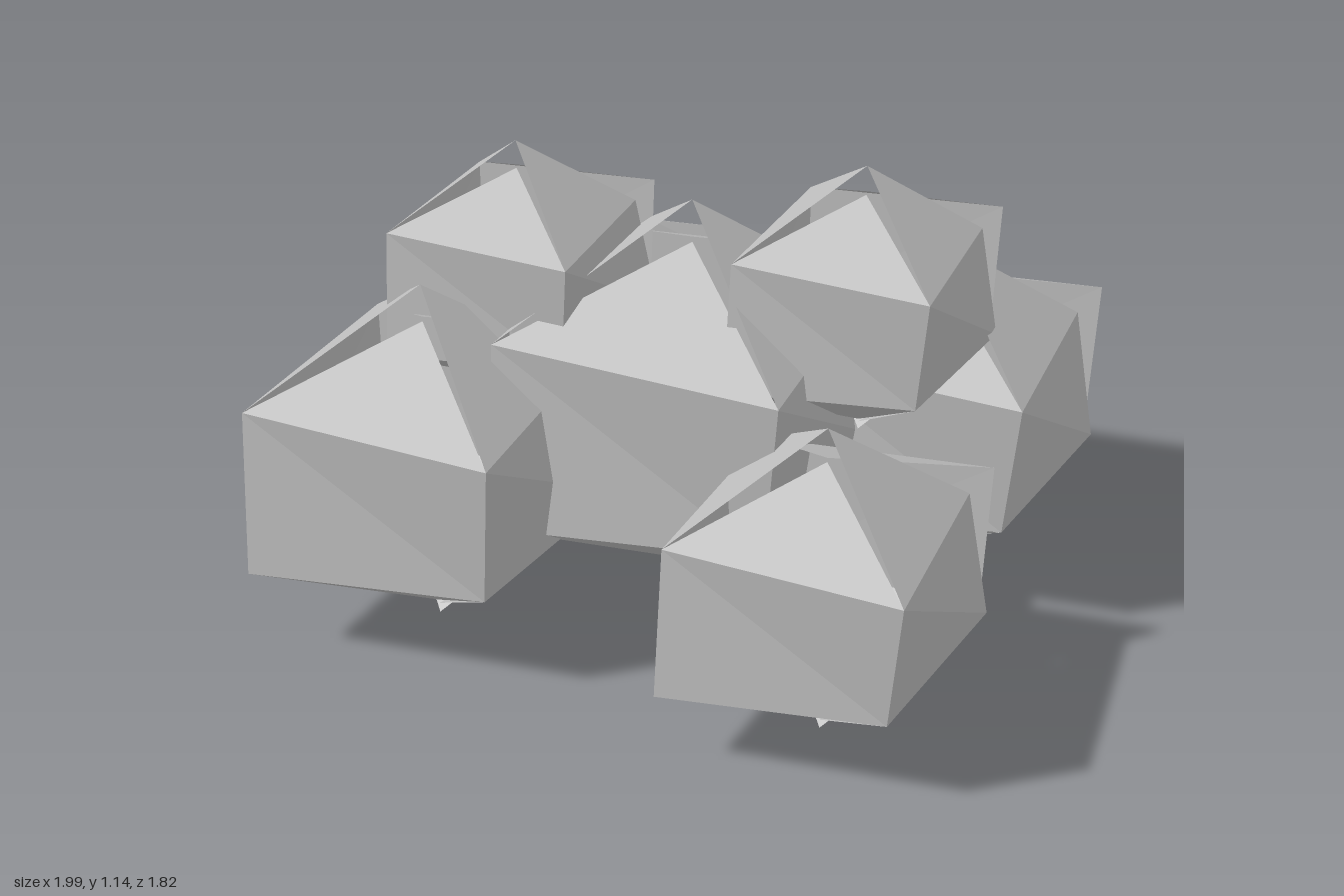
import * as THREE from 'three';

// Profile of one rough boulder: [radius, height] around +x, -z, -x, +z, +x.
// The seam at +x and the poles are split, leaving small cracks.
const rows = [
  [[0, 0.31], [0, 0.38], [0, 0.30], [0, 0.38], [0, 0.38]],
  [[0.385, 0.19], [0.325, 0.165], [0.36, 0.18], [0.365, 0.178], [0.33, 0.14]],
  [[0.37, -0.16], [0.325, -0.155], [0.38, -0.185], [0.315, -0.145], [0.39, -0.185]],
  [[0, -0.38], [0, -0.382], [0, -0.345], [0, -0.352], [0, -0.36]],
];

// Four-sided, three-band sphere with its vertices moved to the rough profile
function boulderGeometry() {
  const geometry = new THREE.SphereGeometry(1, 4, 3, Math.PI);
  const position = geometry.attributes.position;
  rows.forEach((row, j) => row.forEach(([radius, y], i) => {
    const angle = i * Math.PI / 2;
    position.setXYZ(j * 5 + i, radius * Math.cos(angle), y, -radius * Math.sin(angle));
  }));
  geometry.computeVertexNormals();
  return geometry;
}

export function createModel() {
  const group = new THREE.Group();
  group.name = 'boulderCluster';
  const stone = new THREE.MeshStandardMaterial({
    color: 0xc0c0c0, flatShading: true, side: THREE.DoubleSide,
  });
  stone.name = 'stone grey';
  const geometry = boulderGeometry();

  // name, x, y, z, scale
  const boulders = [
    ['centreBoulder', 0, 0.53, -0.03, 1.27],
    ['frontBoulder', 0.06, 0.385, 0.545, 1],
    ['backBoulder', -0.05, 0.41, -0.58, 1],
    ['leftBoulder', 0.58, 0.41, 0.02, 1.07],
    ['rightBoulder', -0.57, 0.44, -0.15, 1.12],
    ['upperLeftBoulder', 0.295, 0.825, 0.2, 0.84],
    ['upperRightBoulder', -0.31, 0.79, -0.265, 0.82],
  ];
  for (const [name, x, y, z, scale] of boulders) {
    const boulder = new THREE.Mesh(geometry, stone);
    boulder.name = name;
    boulder.position.set(x, y, z);
    boulder.scale.setScalar(scale);
    group.add(boulder);
  }
  return group;
}
